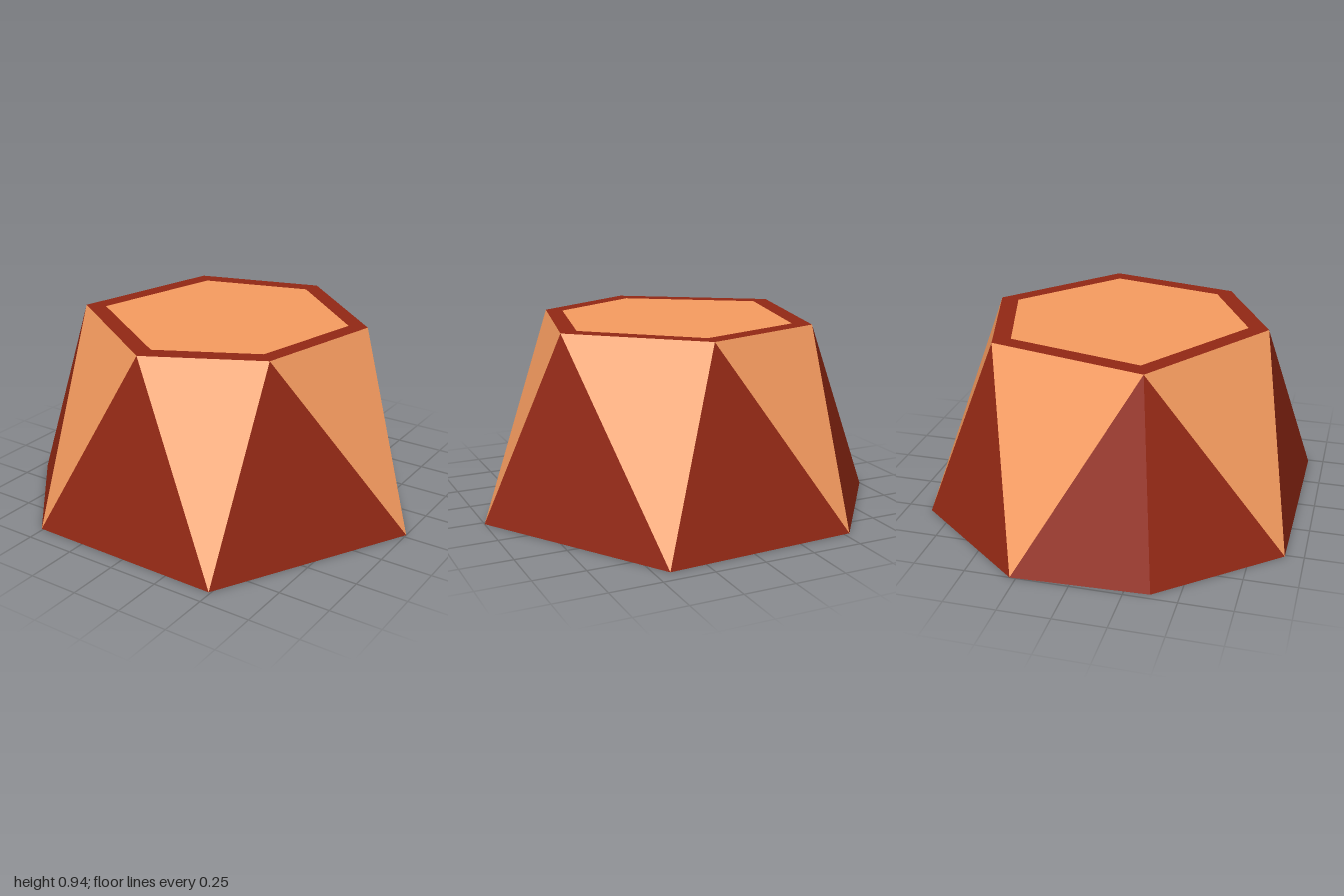
import * as THREE from 'three';

const HEIGHT = 0.94;
const TAN = 0xf89d60;
const RED = 0x932814;

// Outlines as [x, z], running from +x towards +z
const BASE = [[1, -0.02], [0.49, 0.92], [-0.51, 0.91], [-0.97, 0.37], [-1, -0.28], [-0.53, -0.87], [0.43, -0.92]];
const RIM = [[0.65, -0.2], [0.5, 0.45], [-0.03, 0.72], [-0.71, 0.27], [-0.52, -0.5], [0.1, -0.68]];
// Rim corner above each base edge
const APEX = [1, 2, 3, 3, 4, 5, 0];

const lift = (outline, y) => outline.map(([x, z]) => new THREE.Vector3(x, y, z));

function facetMesh(name, triangles, color) {
  const geometry = new THREE.BufferGeometry().setFromPoints(triangles.flat());
  geometry.computeVertexNormals();
  const mesh = new THREE.Mesh(geometry, new THREE.MeshStandardMaterial({ color, flatShading: true }));
  mesh.name = name;
  return mesh;
}

export function createModel() {
  const model = new THREE.Group();
  model.name = 'facetedStump';

  const base = lift(BASE, 0);
  const rim = lift(RIM, HEIGHT);
  const inner = rim.map((p) => new THREE.Vector3(p.x * 0.863, HEIGHT, p.z * 0.863));

  // Sides: red facets stand on base edges, tan facets hang from rim edges
  const redSides = [];
  const tanSides = [];
  base.forEach((corner, i) => {
    const apex = APEX[i];
    const previous = APEX[(i + base.length - 1) % base.length];
    redSides.push([base[(i + 1) % base.length], corner, rim[apex]]);
    if (apex !== previous) tanSides.push([rim[apex], corner, rim[previous]]);
  });

  // Flat border around the top panel
  const border = [];
  rim.forEach((corner, i) => {
    const j = (i + 1) % rim.length;
    border.push([corner, inner[i], rim[j]], [inner[i], inner[j], rim[j]]);
  });

  // Top panel and underside as fans
  const panel = inner.slice(2).map((p, i) => [inner[0], p, inner[i + 1]]);
  const underside = base.slice(2).map((p, i) => [base[0], base[i + 1], p]);

  model.add(
    facetMesh('redSideFacets', redSides, RED),
    facetMesh('tanSideFacets', tanSides, TAN),
    facetMesh('topBorder', border, RED),
    facetMesh('topPanel', panel, TAN),
    facetMesh('underside', underside, RED)
  );
  return model;
}
